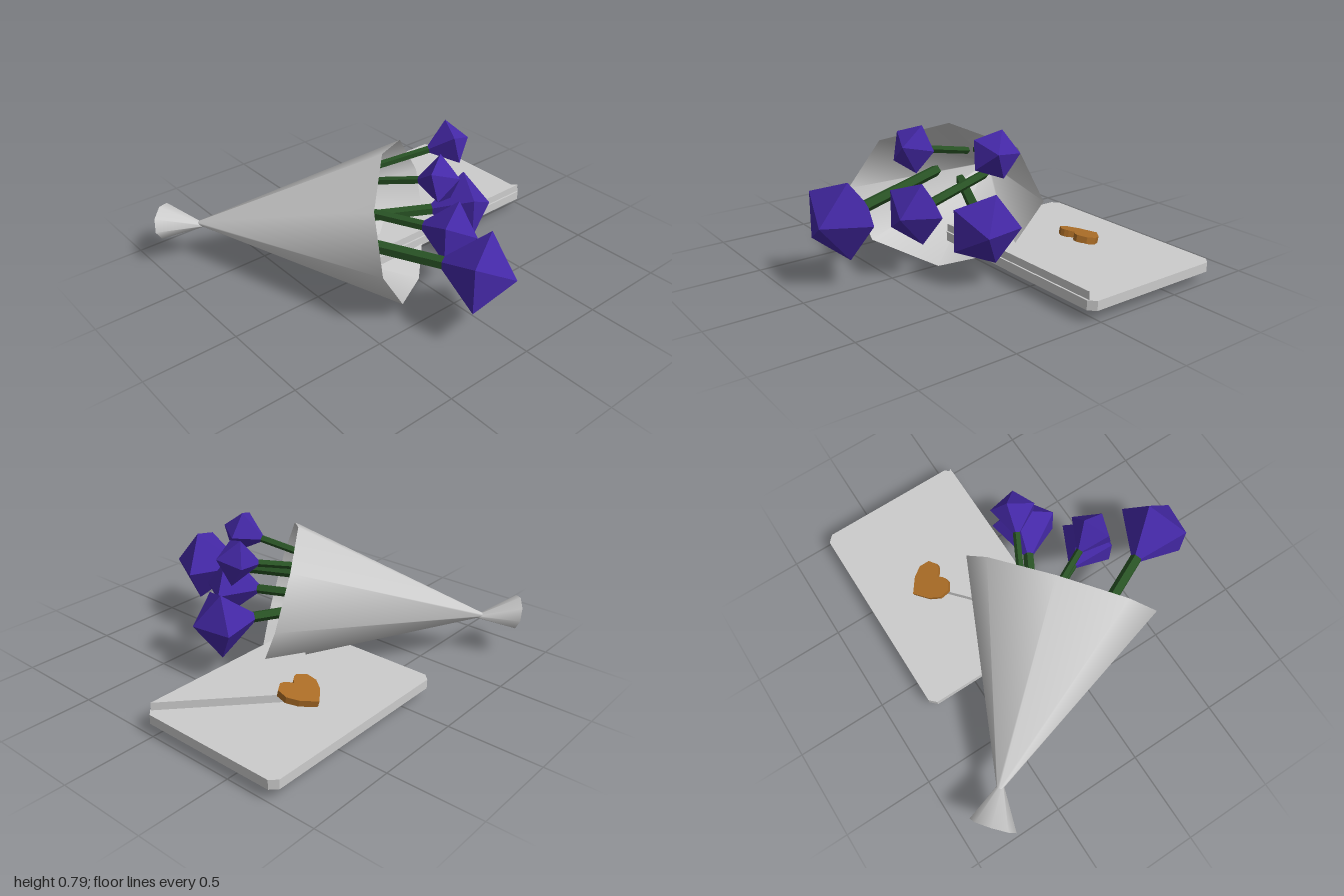
import * as THREE from 'three';

const V = (x, y, z) => new THREE.Vector3(x, y, z);
const paper = new THREE.MeshStandardMaterial({ color: 0xcccccc, side: THREE.DoubleSide });
const card = new THREE.MeshStandardMaterial({ color: 0xcccccc, flatShading: true });
const petal = new THREE.MeshStandardMaterial({ color: 0x4428a6, flatShading: true });
const green = new THREE.MeshStandardMaterial({ color: 0x285224, flatShading: true });
const wax = new THREE.MeshStandardMaterial({ color: 0xaa6c26, flatShading: true });

function add(parent, name, geometry, material) {
  const mesh = new THREE.Mesh(geometry, material);
  mesh.name = name;
  parent.add(mesh);
  return mesh;
}

// Open eight-sided cone from a pinched neck to an elliptical mouth with half-axes u and v
function paperCone(neck, mouth, u, v, neckRatio) {
  const geo = new THREE.CylinderGeometry(1, neckRatio, 1, 8, 1, true).translate(0, 0.5, 0);
  const m = new THREE.Matrix4().makeBasis(u, mouth.clone().sub(neck), v).setPosition(neck);
  return geo.applyMatrix4(m);
}

// Bud: pentagonal bipyramid whose axis follows the stem; stem trails behind it
function addFlower(parent, center, dir, s) {
  const flower = new THREE.Group();
  flower.name = 'flower';
  const d = dir.clone().normalize();
  const u = V(0, 1, 0).cross(d).normalize();
  const v = u.clone().cross(d).normalize();
  // local z is the sideways corner, local y is the stem axis
  flower.matrix.makeBasis(v.negate(), d, u).scale(V(s, s, s)).setPosition(center);
  flower.matrix.decompose(flower.position, flower.quaternion, flower.scale);
  const profile = [[0, -0.255], [0.21, 0], [0, 0.155]].map(p => new THREE.Vector2(...p));
  add(flower, 'bud', new THREE.LatheGeometry(profile, 5), petal);
  add(flower, 'stem', new THREE.CylinderGeometry(0.034, 0.034, 0.76, 5).translate(0, -0.575, 0), green);
  parent.add(flower);
}

// Flat plate with its outline in x and -z, rising from y = 0
function plate(shape, thickness) {
  return new THREE.ExtrudeGeometry(shape, { depth: thickness, bevelEnabled: false, curveSegments: 3 })
    .rotateX(-Math.PI / 2);
}

function polygon(points) {
  return new THREE.Shape(points.map(p => new THREE.Vector2(...p)));
}

export function createModel() {
  const model = new THREE.Group();
  model.name = 'bouquetAndEnvelope';

  // Paper wrap and its flared tail
  const bouquet = new THREE.Group();
  bouquet.name = 'bouquet';
  model.add(bouquet);
  add(bouquet, 'paperWrap', paperCone(V(-0.765, 0.225, -0.71), V(-0.05, 0.365, 0.14),
    V(0.41, 0.005, -0.34), V(0.06, -0.365, 0.08), 0.03), paper);
  add(bouquet, 'wrapTail', paperCone(V(-0.75, 0.215, -0.69), V(-0.905, 0.235, -0.838),
    V(-0.095, 0, 0.08), V(0.012, -0.085, 0.015), 0.1), paper);

  // Flowers: center, direction, size
  [
    [V(-0.06, 0.355, 0.76), V(0.43, 0, 0.9), 1],
    [V(0.37, 0.305, 0.19), V(0.88, 0, 0.47), 0.89],
    [V(0.075, 0.355, 0.41), V(0.42, 0, 0.9), 0.8],
    [V(0.015, 0.67, 0.37), V(0.4, 0.25, 0.88), 0.6],
    [V(0.335, 0.665, 0.1), V(0.87, 0.22, 0.45), 0.6],
  ].forEach(f => addFlower(bouquet, ...f));

  // Envelope body with clipped corners
  const envelope = new THREE.Group();
  envelope.name = 'envelope';
  model.add(envelope);
  const x0 = -0.18, x1 = 0.995, y0 = -0.055, y1 = 0.775, c = 0.035;
  const body = polygon([[x0 + c, y0], [x1 - c, y0], [x1, y0 + c], [x1, y1 - c],
    [x1 - c, y1], [x0 + c, y1], [x0, y1 - c], [x0, y0 + c]]);
  add(envelope, 'envelopeBody', plate(body, 0.05), card).position.y = 0.06;

  // Triangular flap
  const flap = polygon([[-0.15, -0.045], [0.965, -0.045], [0.41, 0.45]]);
  add(envelope, 'envelopeFlap', plate(flap, 0.042), card).position.y = 0.11;

  // Heart-shaped seal, tilted over the flap tip
  const heart = new THREE.Shape();
  heart.moveTo(0, 0.105);
  heart.lineTo(-0.075, 0.045);
  heart.bezierCurveTo(-0.13, 0, -0.125, -0.095, -0.06, -0.1);
  heart.quadraticCurveTo(-0.03, -0.1, 0, -0.062);
  heart.quadraticCurveTo(0.03, -0.1, 0.06, -0.1);
  heart.bezierCurveTo(0.125, -0.095, 0.13, 0, 0.075, 0.045);
  const seal = add(envelope, 'heartSeal', plate(heart, 0.036), wax);
  seal.position.set(0.415, 0.132, -0.425);
  seal.rotation.x = -0.24;

  return model;
}
